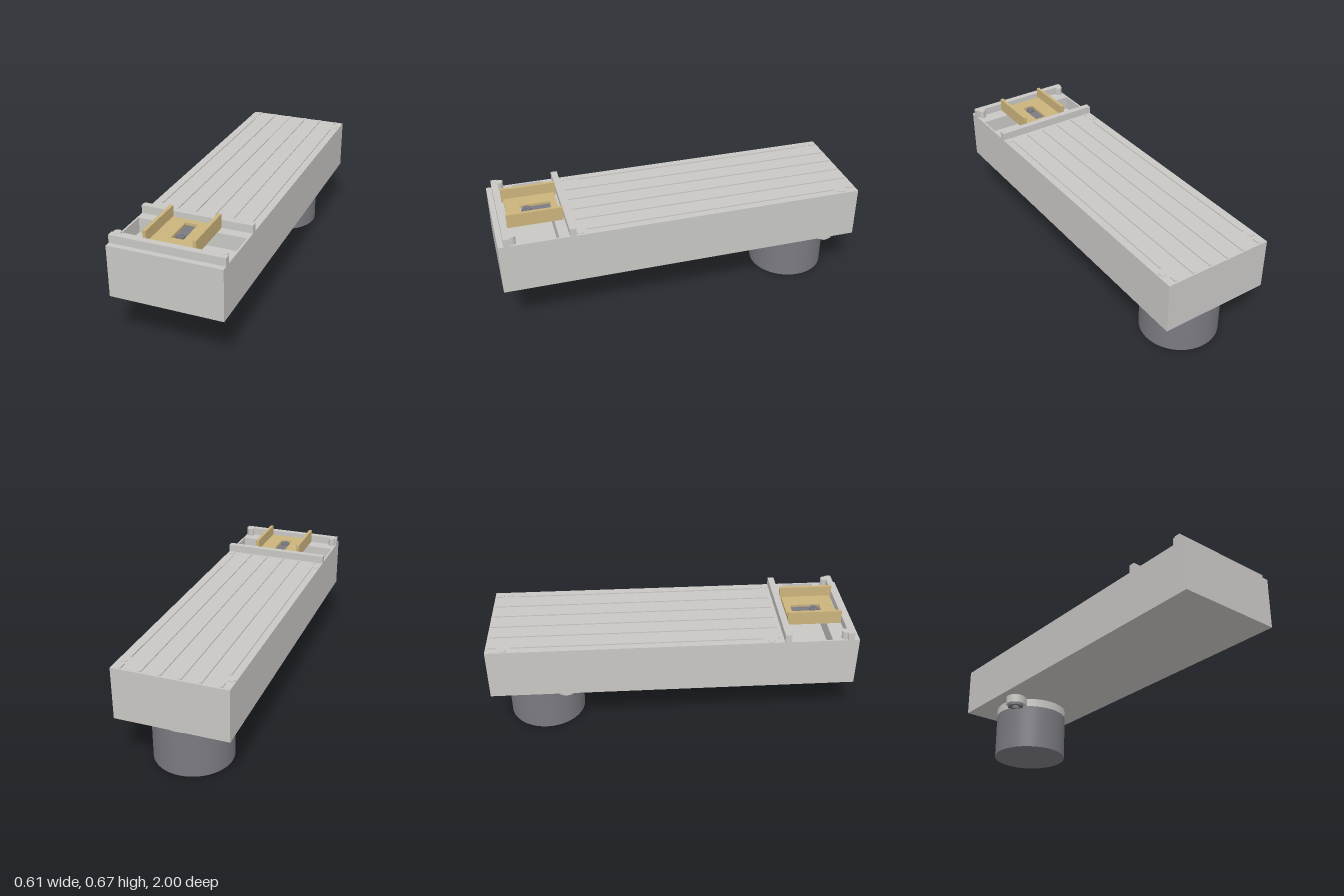
import * as THREE from 'three';

const paint = (name, color) => Object.assign(new THREE.MeshStandardMaterial({ color }), { name });

export function createModel() {
  const grey = paint('light grey', 0xc8c7c4);
  const dark = paint('dark grey', 0x7b7a81);
  const gold = paint('brass', 0xcbb37b);
  const model = new THREE.Group();
  model.name = 'linearStage';

  const add = (name, geometry, material, x = 0, y = 0, z = 0) => {
    const mesh = new THREE.Mesh(geometry, material);
    mesh.name = name;
    mesh.position.set(x, y, z);
    model.add(mesh);
    return mesh;
  };
  // Box given by its limits on each axis
  const block = (name, mat, x0, x1, y0, y1, z0, z1) =>
    add(name, new THREE.BoxGeometry(x1 - x0, y1 - y0, z1 - z0), mat,
      (x0 + x1) / 2, (y0 + y1) / 2, (z0 + z1) / 2);
  // Upright cylinder between two heights
  const post = (name, mat, r, x, z, y0, y1, sides = 32) =>
    add(name, new THREE.CylinderGeometry(r, r, y1 - y0, sides), mat, x, (y0 + y1) / 2, z);
  // Rectangle outline in x and z, as shape points
  const rect = (Kind, x, z0, z1) => new Kind([
    new THREE.Vector2(-x, -z1), new THREE.Vector2(x, -z1),
    new THREE.Vector2(x, -z0), new THREE.Vector2(-x, -z0),
  ]);
  // Horizontal plate extruded upwards
  const plate = (name, mat, shape, y0, y1) => {
    const geometry = new THREE.ExtrudeGeometry(shape, { depth: y1 - y0, bevelEnabled: false, curveSegments: 16 });
    geometry.rotateX(-Math.PI / 2);
    return add(name, geometry, mat, 0, y0, 0);
  };

  // Housing: solid lower part and an upper layer with the pocket
  const top = 0.592;
  block('housing', grey, -0.305, 0.305, 0.308, 0.51, -1, 1);
  const deck = rect(THREE.Shape, 0.305, -1, 1);
  deck.holes.push(rect(THREE.Path, 0.295, 0.685, 0.855));
  plate('deck', grey, deck, 0.51, top);

  // Thin lengthwise ribs, the outer ones broken around the fasteners
  const ribs = [
    [-0.26, -0.99, -0.95], [-0.26, -0.87, 0.485], [-0.26, 0.565, 0.575],
    [-0.157, -0.99, 0.575], [-0.055, -0.99, 0.575], [0.05, -0.99, 0.575], [0.153, -0.99, 0.575],
    [0.258, -0.99, -0.95], [0.258, -0.87, 0.535],
  ];
  for (const [x, z0, z1] of ribs) block('deckRib', grey, x - 0.006, x + 0.006, top, top + 0.006, z0, z1);

  // Fastener heads on the deck
  for (const [x, z] of [[-0.28, -0.91], [0.275, -0.91], [-0.28, 0.525], [0.275, 0.572]])
    post('fastener', grey, 0.02, x, z, top - 0.02, top + 0.004);

  // Cross rails and corner posts around the carriage
  block('rearRail', grey, -0.305, 0.305, top, 0.636, 0.595, 0.63);
  block('frontRail', grey, -0.305, 0.305, top, 0.636, 0.935, 0.97);
  for (const x of [-0.278, 0.276]) post('cornerPost', grey, 0.02, x, 0.925, top, 0.637);

  // Carriage: slotted base with two side walls
  const base = rect(THREE.Shape, 0.122, 0.645, 0.922);
  base.holes.push(rect(THREE.Path, 0.033, 0.68, 0.845));
  plate('carriageBase', gold, base, 0.595, 0.613);
  for (const s of [-1, 1]) {
    const wall = block('carriageWall', gold, -0.009, 0.009, 0.595, 0.672, 0.635, 0.932);
    wall.position.x = s * 0.131;
  }

  // Drive arm with a rounded end and pin inside the slot
  const arm = new THREE.Shape();
  arm.moveTo(0.032, -0.682);
  arm.lineTo(-0.032, -0.682);
  arm.lineTo(-0.032, -0.81);
  arm.absarc(0, -0.81, 0.032, Math.PI, Math.PI * 2, false);
  plate('driveArm', dark, arm, 0.53, 0.6);
  post('drivePin', dark, 0.024, 0, 0.81, 0.6, 0.614, 24);
  post('drivePinTip', dark, 0.014, 0, 0.81, 0.614, 0.619, 6);

  // Motor below the rear end
  const mz = -0.727;
  post('motor', dark, 0.214, 0, mz, 0, 0.26, 64);
  post('motorFlange', grey, 0.214, 0, mz, 0.26, 0.308, 64);

  // Two diagonal mounting ears with screws
  for (const s of [-1, 1]) {
    const x = s * 0.205, z = mz - s * 0.133;
    post('mountingEar', grey, 0.058, x, z, 0.26, 0.308);
    const web = add('earWeb', new THREE.BoxGeometry(0.08, 0.048, 0.116), grey, x * 0.84, 0.284, mz - s * 0.133 * 0.84);
    web.rotation.y = Math.atan2(0.133, 0.205);
    const head = post('mountingScrew', dark, 0.051, x, z, 0.248, 0.26, 6);
    head.rotation.y = Math.PI / 2;
    post('screwCentre', grey, 0.02, x, z, 0.246, 0.25, 20);
  }
  return model;
}
